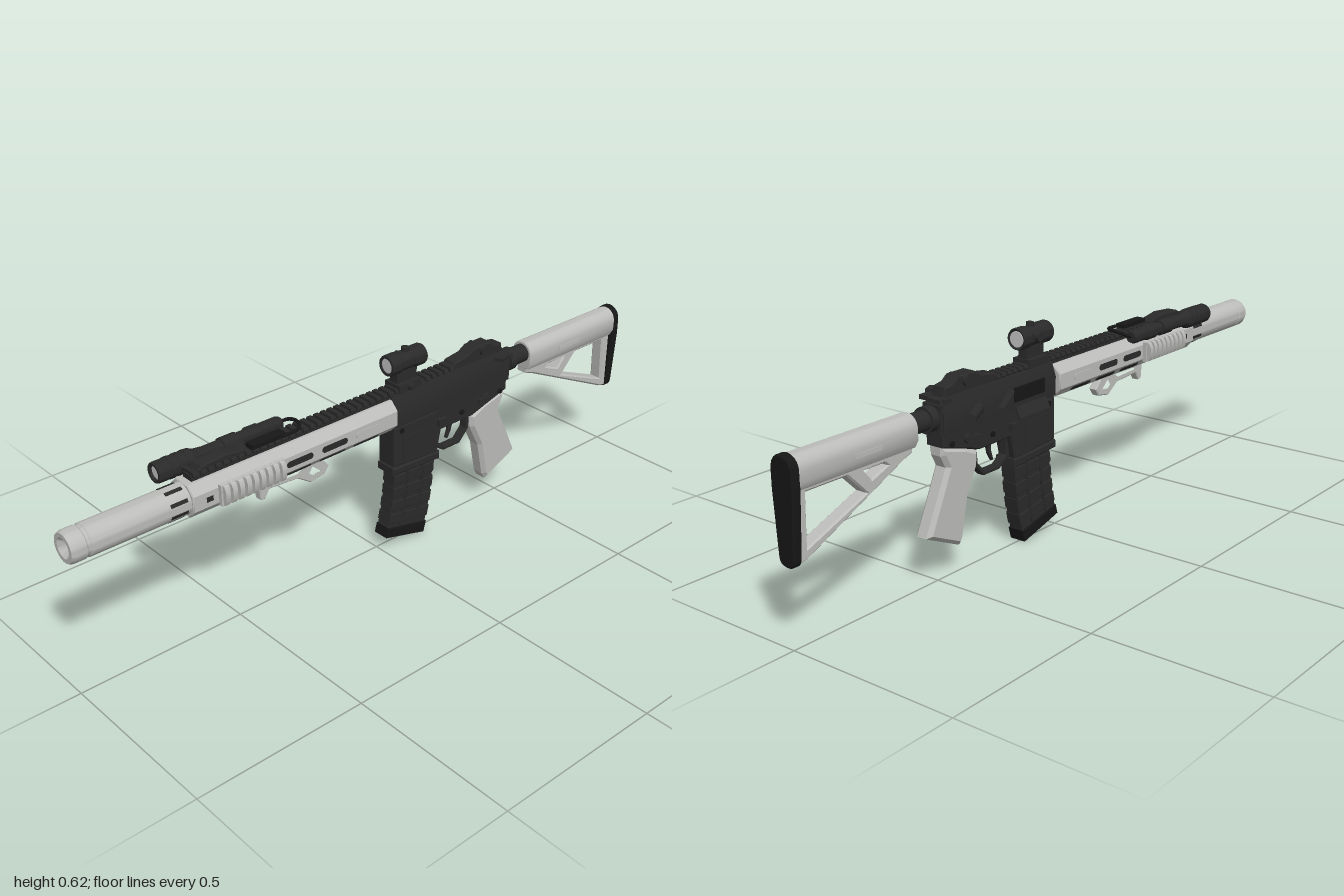
import * as THREE from 'three';
import { toCreasedNormals } from 'three/addons/utils/BufferGeometryUtils.js';

const mat = (name, color) => {
  const m = new THREE.MeshStandardMaterial({ color });
  m.name = name;
  return m;
};

export function createModel() {
  const light = mat('light grey', 0xbcbcba);
  const dark = mat('dark grey', 0x2a2a2b);
  const black = mat('black', 0x171718);
  const lensGrey = mat('lens grey', 0xc6c6c6);

  const root = new THREE.Group();
  root.name = 'rifle';
  root.position.x = 0.007;
  const AXIS = 0.443; // bore height

  const add = (name, geo, material, x = 0, y = 0, z = 0) => {
    const m = new THREE.Mesh(geo, material);
    m.name = name;
    m.position.set(x, y, z);
    root.add(m);
    return m;
  };
  const poly = (pts, holes = []) => {
    const s = new THREE.Shape(pts.map(p => new THREE.Vector2(...p)));
    holes.forEach(h => s.holes.push(new THREE.Path(h.map(p => new THREE.Vector2(...p)))));
    return s;
  };
  const extrude = (shape, depth, bevel) => new THREE.ExtrudeGeometry(shape, {
    depth: depth - 2 * bevel, bevelEnabled: bevel > 0, bevelSize: bevel, bevelThickness: bevel,
    bevelOffset: -bevel, bevelSegments: 1, curveSegments: 8,
  }).translate(0, 0, bevel - depth / 2);
  // Side profile given as [z, y], extruded across x
  const side = (name, pts, width, material, bevel = 0.004, holes = []) =>
    add(name, extrude(poly(pts, holes), width, bevel).rotateY(-Math.PI / 2), material);
  // Front profile given as [x, y], extruded along z
  const along = (name, shape, z0, z1, material, bevel = 0) =>
    add(name, toCreasedNormals(extrude(shape, z1 - z0, bevel), 0.6), material, 0, 0, (z0 + z1) / 2);
  const box = (name, w, h, d, material, x, y, z) => add(name, new THREE.BoxGeometry(w, h, d), material, x, y, z);
  const cylZ = (name, r, z0, z1, material, x, y) =>
    add(name, new THREE.CylinderGeometry(r, r, z1 - z0, 32).rotateX(Math.PI / 2), material, x, y, (z0 + z1) / 2);
  const cylX = (name, r, w, material, x, y, z) =>
    add(name, new THREE.CylinderGeometry(r, r, w, 20).rotateZ(Math.PI / 2), material, x, y, z);
  // Turned part along z; profile as [radius, z]
  const lathe = (name, pts, material, x, y) => add(name, toCreasedNormals(
    new THREE.LatheGeometry(pts.map(p => new THREE.Vector2(...p)), 40), 0.5).rotateX(Math.PI / 2), material, x, y, 0);

  // Suppressor with bored muzzle and end groove
  lathe('suppressor', [[0, 0.64], [0.043, 0.64], [0.044, 0.66], [0.044, 0.945], [0.041, 0.948], [0.041, 0.955],
    [0.044, 0.958], [0.044, 0.99], [0.04, 1], [0.028, 1], [0.014, 0.985], [0.014, 0.93], [0, 0.93]], light, 0, AXIS);
  cylZ('bore', 0.0135, 0.93, 0.975, dark, 0, AXIS);
  for (let i = 0; i < 8; i++) {
    const a = (i + 0.5) * Math.PI / 4;
    box('collarNotch', 0.004, 0.01, 0.05, dark, Math.cos(a) * 0.0432, AXIS + Math.sin(a) * 0.0432, 0.695).rotation.z = a;
  }

  // Octagonal handguard
  const oct = [[0.05, 0.022], [0.026, 0.047], [-0.026, 0.047], [-0.05, 0.022],
    [-0.05, -0.022], [-0.026, -0.047], [0.026, -0.047], [0.05, -0.022]].map(([x, y]) => [x, y + AXIS]);
  along('handguard', poly(oct), -0.03, 0.66, light, 0.003);
  const slot = new THREE.Shape();
  slot.absarc(0.035, 0, 0.009, -Math.PI / 2, Math.PI / 2).absarc(-0.035, 0, 0.009, Math.PI / 2, Math.PI * 1.5);
  const slotGeo = extrude(slot, 0.004, 0).rotateY(-Math.PI / 2);
  for (const s of [-1, 1]) {
    for (const z of [0.32, 0.2, 0.08]) {
      add('sideSlot', slotGeo, z > 0.1 ? dark : light, s * 0.0495, AXIS, z);
      add('lowerSlot', slotGeo, dark, s * 0.038, AXIS - 0.0345, z).rotation.z = -s * 0.8;
    }
    box('frontVent', 0.004, 0.014, 0.02, dark, s * 0.0495, AXIS, 0.61);
    // Ribbed hand panel
    box('panelBase', 0.012, 0.06, 0.205, light, s * 0.055, AXIS, 0.48);
    for (let i = 0; i < 9; i++) {
      const rib = poly([[0.055, -0.031], [0.067, -0.027], [0.074, -0.014], [0.074, 0.014], [0.067, 0.027], [0.055, 0.031]]
        .map(([x, y]) => [x * s, y + AXIS]));
      const z = 0.39 + i * 0.0225;
      along('panelRib', rib, z - 0.007, z + 0.007, light);
    }
  }

  // Top rail with cross teeth
  box('railBase', 0.036, 0.02, 0.91, dark, 0, 0.495, 0.185);
  const tooth = poly([[-0.02, 0.5], [-0.026, 0.505], [-0.022, 0.514], [0.022, 0.514], [0.026, 0.505], [0.02, 0.5]]);
  for (let z = 0.63; z > -0.27; z -= 0.0235) along('railTooth', tooth, z - 0.007, z + 0.007, dark);

  // Folded front sight
  side('frontSight', [[0.62, 0.51], [0.61, 0.524], [0.53, 0.53], [0.48, 0.522], [0.47, 0.51]], 0.04, dark);

  // Upper and lower receiver
  const upper = [[0.036, 0.405], [0.038, 0.46], [0.024, 0.5], [-0.024, 0.5], [-0.038, 0.46], [-0.036, 0.405]];
  along('upperReceiver', poly(upper), -0.49, -0.03, dark, 0.004);
  side('lowerReceiver', [[-0.035, 0.41], [-0.035, 0.275], [-0.205, 0.262], [-0.22, 0.33], [-0.35, 0.33],
    [-0.4, 0.345], [-0.49, 0.37], [-0.49, 0.41]], 0.062, dark);
  side('magazineWell', [[-0.032, 0.4], [-0.032, 0.275], [-0.2, 0.262], [-0.205, 0.4]], 0.066, dark);
  side('wellFlare', [[-0.028, 0.272], [-0.028, 0.25], [-0.212, 0.238], [-0.212, 0.264]], 0.07, dark);
  box('ejectionPort', 0.006, 0.04, 0.13, black, -0.037, 0.447, -0.15);
  box('dustCover', 0.006, 0.034, 0.13, dark, -0.048, 0.4, -0.15).rotation.z = -0.45;
  side('caseDeflector', [[-0.235, 0.47], [-0.235, 0.43], [-0.28, 0.43]], 0.034, dark, 0.002).position.x = -0.038;
  const assist = cylZ('forwardAssist', 0.015, -0.05, 0.05, dark, -0.058, 0.447);
  assist.position.z = -0.4;
  assist.rotation.y = 0.5;
  box('chargingHandle', 0.085, 0.012, 0.03, dark, 0.012, 0.492, -0.47);
  box('chargingLatch', 0.03, 0.011, 0.035, dark, 0.053, 0.5, -0.435).rotation.y = 0.4;
  for (const s of [-1, 1]) {
    for (const [y, z] of [[0.385, -0.06], [0.375, -0.46], [0.36, -0.3]]) cylX('pin', 0.008, 0.006, black, s * 0.033, y, z);
    cylX('selectorHub', 0.013, 0.014, dark, s * 0.034, 0.375, -0.4);
    box('selectorLever', 0.008, 0.01, 0.045, dark, s * 0.04, 0.375, -0.385);
    box('magazineRelease', 0.012, 0.02, 0.03, dark, s * 0.036, 0.36, -0.215);
    box('wellPanel', 0.004, 0.07, 0.1, dark, s * 0.0335, 0.325, -0.115);
  }

  // Trigger and guard
  side('triggerGuard', [[-0.205, 0.335], [-0.355, 0.335], [-0.35, 0.28], [-0.315, 0.243], [-0.25, 0.243], [-0.208, 0.27]],
    0.026, dark, 0.002, [[[-0.222, 0.328], [-0.342, 0.328], [-0.338, 0.284], [-0.31, 0.254], [-0.255, 0.254], [-0.222, 0.276]]]);
  side('trigger', [[-0.275, 0.335], [-0.295, 0.335], [-0.285, 0.295], [-0.272, 0.272], [-0.266, 0.274], [-0.274, 0.3]],
    0.012, dark, 0.002);

  // Curved magazine: front and back edges at t (0 top, 1 bottom)
  const front = (t, g) => [-0.045 + 0.033 * t * t + g, 0.27 - 0.228 * t];
  const back = (t, g) => [-0.198 + 0.04 * t * t - g, 0.27 - 0.268 * t];
  const magSlice = (name, t0, t1, w, g, material) => {
    const ts = [0, 0.25, 0.5, 0.75, 1].map(k => t0 + (t1 - t0) * k);
    side(name, [...ts.map(t => front(t, g)), ...ts.reverse().map(t => back(t, g))], w, material, 0.002);
  };
  magSlice('magazine', -0.1, 0.95, 0.046, 0, dark);
  for (const t of [0.14, 0.32, 0.5, 0.68]) magSlice('magazineBand', t, t + 0.13, 0.051, 0.002, dark);
  magSlice('magazineFoot', 0.87, 1, 0.054, 0.002, black);
  for (const s of [-1, 1]) for (const k of [0.3, 0.7]) {
    const pts = [0.1, 0.35, 0.6, 0.85].map(t => {
      const f = front(t, 0), b = back(t, 0);
      return new THREE.Vector3(s * 0.025, f[1] + (b[1] - f[1]) * k, f[0] + (b[0] - f[0]) * k);
    });
    add('magazineRib', new THREE.TubeGeometry(new THREE.CatmullRomCurve3(pts), 12, 0.004, 6), dark);
  }

  // Pistol grip
  side('pistolGrip', [[-0.348, 0.325], [-0.4, 0.348], [-0.488, 0.37], [-0.488, 0.345], [-0.47, 0.31], [-0.49, 0.265],
    [-0.55, 0.137], [-0.425, 0.08], [-0.413, 0.1], [-0.39, 0.21], [-0.352, 0.285]], 0.054, light, 0.011);

  // Stock extension tube and castle nut
  cylZ('extensionTube', 0.028, -0.62, -0.48, dark, 0, 0.45);
  cylZ('castleNut', 0.035, -0.53, -0.505, dark, 0, 0.45);
  box('receiverPlate', 0.06, 0.085, 0.012, dark, 0, 0.443, -0.493);

  // Stock: rounded tube over an open triangular frame
  const tube = new THREE.Shape();
  tube.moveTo(0.026, 0.4).lineTo(0.037, 0.42).lineTo(0.037, 0.45);
  tube.absarc(0, 0.45, 0.037, 0, Math.PI).lineTo(-0.037, 0.42).lineTo(-0.026, 0.4);
  along('stockTube', tube, -0.978, -0.585, light, 0.003);
  side('stockFrame', [[-0.59, 0.42], [-0.59, 0.385], [-0.62, 0.375], [-0.95, 0.222], [-0.978, 0.215], [-0.978, 0.42]],
    0.042, light, 0.005, [[[-0.755, 0.328], [-0.815, 0.388], [-0.945, 0.388], [-0.95, 0.25]],
      [[-0.68, 0.378], [-0.69, 0.386], [-0.76, 0.386], [-0.735, 0.358]]]);
  for (const s of [-1, 1]) box('stockSlot', 0.004, 0.012, 0.09, light, s * 0.037, 0.437, -0.76);
  const pad = new THREE.Shape();
  pad.moveTo(0.028, 0.235).lineTo(0.038, 0.4).lineTo(0.038, 0.452);
  pad.absarc(0, 0.452, 0.038, 0, Math.PI).lineTo(-0.038, 0.4).lineTo(-0.028, 0.235);
  pad.quadraticCurveTo(-0.026, 0.21, 0, 0.21).quadraticCurveTo(0.026, 0.21, 0.028, 0.235);
  along('buttPad', pad, -1, -0.973, black, 0.005);

  // Optic on its mount
  lathe('opticTube', [[0.021, -0.155], [0.029, -0.16], [0.031, -0.155], [0.031, -0.125], [0.028, -0.12], [0.028, -0.07],
    [0.031, -0.065], [0.031, -0.035], [0.029, -0.03], [0.022, -0.03], [0.022, -0.04]], dark, 0, 0.584);
  for (const [z0, z1] of [[-0.158, -0.148], [-0.042, -0.034]]) cylZ('opticLens', 0.0225, z0, z1, lensGrey, 0, 0.584);
  add('opticTurret', new THREE.CylinderGeometry(0.011, 0.011, 0.02, 20), dark, 0, 0.612, -0.1);
  cylX('opticDial', 0.013, 0.014, dark, -0.031, 0.584, -0.1);
  box('opticStem', 0.028, 0.05, 0.075, dark, 0, 0.54, -0.095);
  box('opticClamp', 0.058, 0.024, 0.085, dark, 0, 0.513, -0.095);
  cylX('clampKnob', 0.01, 0.016, dark, 0.034, 0.513, -0.095);

  // Folded rear sight
  side('rearSight', [[-0.26, 0.495], [-0.275, 0.522], [-0.33, 0.53], [-0.355, 0.545], [-0.42, 0.545], [-0.44, 0.53],
    [-0.47, 0.525], [-0.475, 0.495]], 0.044, dark);
  cylX('rearSightKnob', 0.014, 0.062, dark, 0, 0.527, -0.39);

  // Weapon light with clamp and cable
  const LX = -0.058, LY = 0.505;
  lathe('torchBody', [[0, 0.3], [0.016, 0.3], [0.02, 0.31], [0.02, 0.37], [0.023, 0.375], [0.023, 0.41], [0.019, 0.415],
    [0.019, 0.55], [0.023, 0.58], [0.029, 0.59], [0.029, 0.695], [0.027, 0.7], [0.02, 0.7], [0.02, 0.69]], dark, LX, LY);
  cylZ('torchLens', 0.0205, 0.683, 0.692, lensGrey, LX, LY);
  for (const z of [0.6, 0.625, 0.65]) cylZ('torchRing', 0.0302, z, z + 0.012, dark, LX, LY);
  box('torchClamp', 0.05, 0.022, 0.06, dark, -0.03, 0.5, 0.47);
  cylZ('torchClampRing', 0.023, 0.445, 0.495, dark, LX, LY);
  const cable = new THREE.CatmullRomCurve3([[LX, LY, 0.305], [-0.045, 0.515, 0.285], [-0.01, 0.522, 0.28],
    [0.022, 0.52, 0.3], [0.026, 0.518, 0.36]].map(p => new THREE.Vector3(...p)));
  add('cable', new THREE.TubeGeometry(cable, 24, 0.005, 8), black);
  box('pressureSwitch', 0.03, 0.012, 0.11, black, 0.012, 0.52, 0.4);

  // Skeleton hand stop under the handguard
  side('handStop', [[0.43, 0.402], [0.425, 0.345], [0.41, 0.343], [0.395, 0.368], [0.3, 0.362], [0.255, 0.332],
    [0.205, 0.34], [0.19, 0.362], [0.225, 0.402]], 0.026, light, 0.003,
  [[[0.385, 0.39], [0.39, 0.379], [0.3, 0.374], [0.28, 0.39]], [[0.25, 0.385], [0.265, 0.362], [0.25, 0.35], [0.217, 0.355]]]);

  return root;
}
